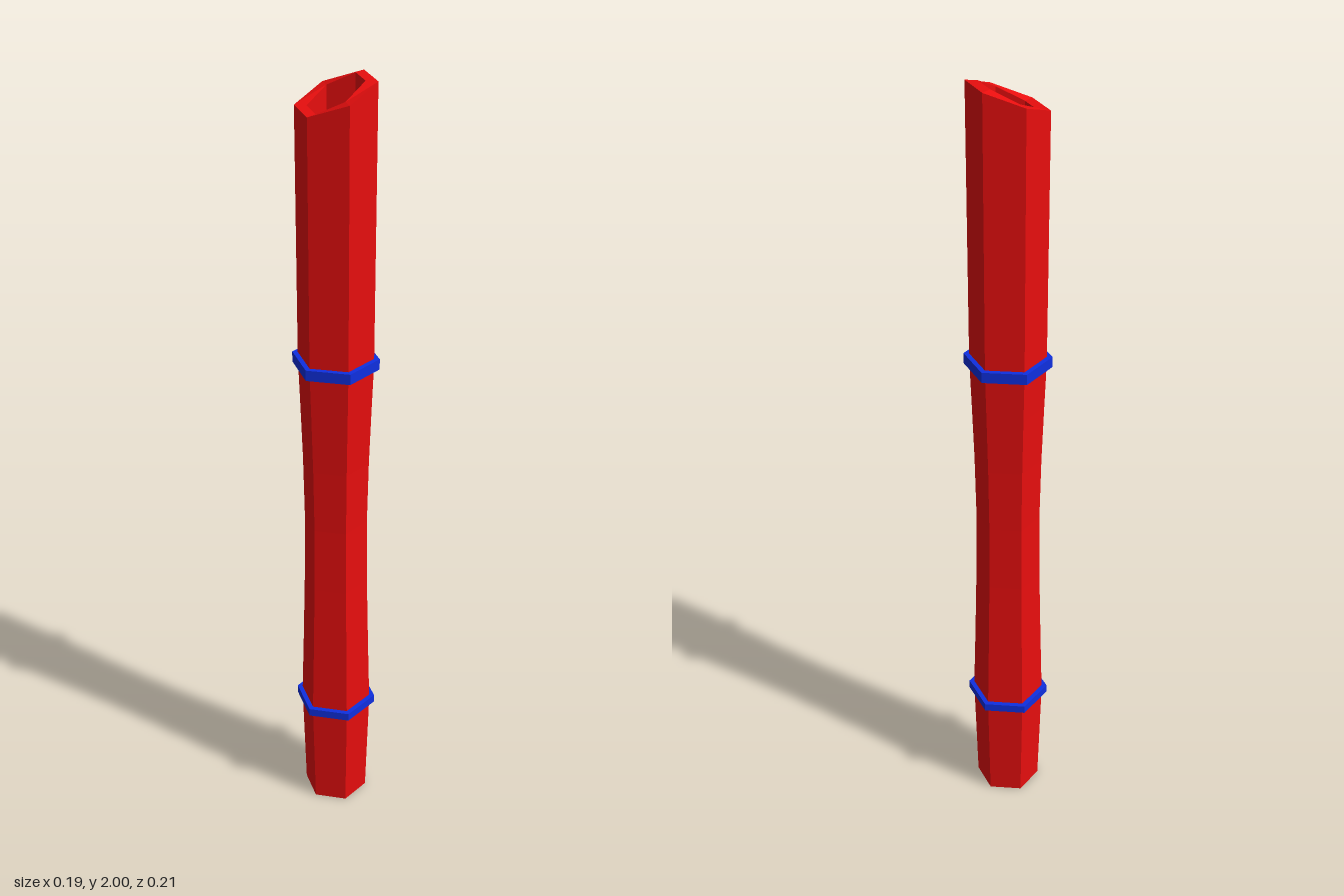
import * as THREE from 'three';

const TURN = THREE.MathUtils.degToRad(5.5);
const WALL = 0.028;

// Hexagonal solid of revolution from a closed (radius, height) profile
function hexLathe(profile) {
  const points = [...profile, profile[0]].map(([r, y]) => new THREE.Vector2(r, y));
  return new THREE.LatheGeometry(points, 6, TURN);
}

function addMesh(group, name, geometry, color) {
  const material = new THREE.MeshStandardMaterial({ color, flatShading: true });
  const mesh = new THREE.Mesh(geometry, material);
  mesh.name = name;
  group.add(mesh);
}

export function createModel() {
  const group = new THREE.Group();
  group.name = 'hollowTube';

  // Waisted hollow tube: outer wall going up, inner wall coming down
  const outer = [
    [0.084, 0], [0.0925, 0.31], [0.087, 0.5], [0.082, 0.7], [0.08, 0.88],
    [0.083, 1.05], [0.088, 1.2], [0.0925, 1.325], [0.093, 2],
  ];
  const inner = outer.map(([r, y]) => [r - WALL, y]).reverse();
  const tube = hexLathe([...outer, ...inner]);

  // Slanted cut: the top rim falls from the left side to the right side
  const p = tube.attributes.position;
  for (let i = 0; i < p.count; i++) {
    if (p.getY(i) < 1.9) continue;
    const phi = Math.atan2(p.getX(i), p.getZ(i));
    const across = Math.cos(phi - TURN - Math.PI / 2) / Math.cos(Math.PI / 6);
    p.setY(i, 1.969 + 0.031 * across);
  }
  addMesh(group, 'tube', tube, 0xe80e0e);

  // Bands that stand proud of the wall both outside and inside
  for (const [name, y0, y1] of [['lowerBand', 0.3, 0.322], ['upperBand', 1.312, 1.339]]) {
    const band = hexLathe([[0.106, y0], [0.106, y1], [0.052, y1], [0.052, y0]]);
    addMesh(group, name, band, 0x0f2fe0);
  }
  return group;
}
